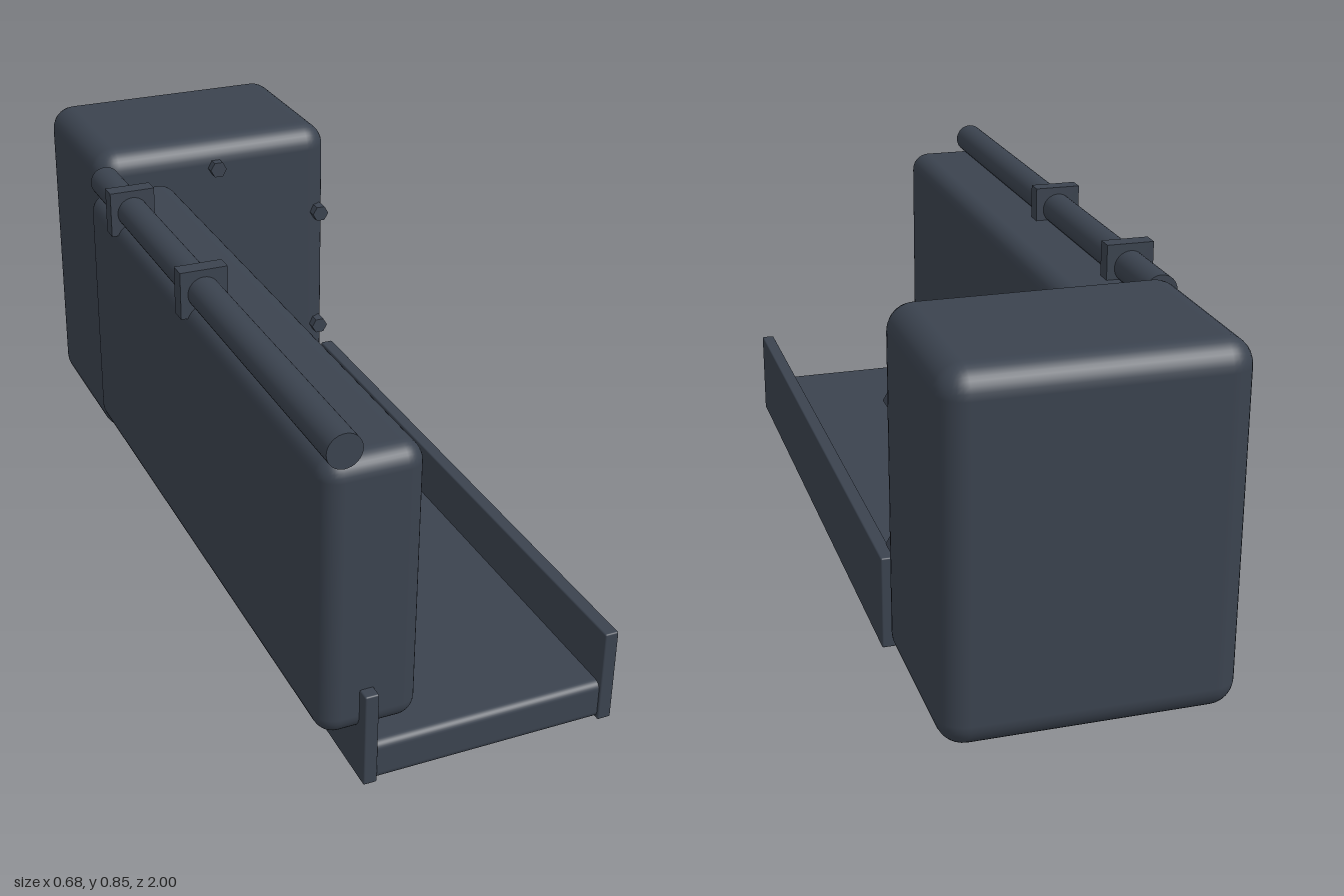
import * as THREE from 'three';
import { RoundedBoxGeometry } from 'three/addons/geometries/RoundedBoxGeometry.js';

const material = new THREE.MeshStandardMaterial({ color: 0x3b434f });

export function createModel() {
  const model = new THREE.Group();

  function add(name, geometry, x, y, z) {
    const mesh = new THREE.Mesh(geometry, material);
    mesh.name = name;
    mesh.position.set(x, y, z);
    model.add(mesh);
    return mesh;
  }

  // Box given by its limits on each axis, with optional rounded edges
  function box(name, [x0, x1], [y0, y1], [z0, z1], radius = 0) {
    const size = [x1 - x0, y1 - y0, z1 - z0];
    const geometry = radius
      ? new RoundedBoxGeometry(...size, 4, radius)
      : new THREE.BoxGeometry(...size);
    return add(name, geometry, (x0 + x1) / 2, (y0 + y1) / 2, (z0 + z1) / 2);
  }

  // Rear housing and side panel
  box('rearHousing', [-0.3, 0.34], [0.043, 0.852], [-1, -0.535], 0.06);
  box('sidePanel', [-0.33, -0.107], [0.127, 0.77], [-0.53, 0.972], 0.045);

  // Tray: floor between two rails, with a small pad underneath
  box('trayFloor', [-0.24, 0.335], [0.015, 0.108], [-0.497, 0.995], 0.018);
  box('trayRailRight', [-0.245, -0.214], [0.014, 0.236], [-0.497, 1], 0.004);
  box('trayRailLeft', [0.308, 0.34], [0.014, 0.236], [-0.497, 1], 0.004);
  box('trayPad', [-0.212, -0.168], [0, 0.03], [0.63, 0.89]);

  // Rod along the top of the panel, held by two square clamps
  const rod = new THREE.CylinderGeometry(0.038, 0.038, 1.485, 32).rotateX(Math.PI / 2);
  add('rod', rod, -0.288, 0.797, 0.2325);
  for (const z of [-0.305, 0.2]) {
    box('rodClamp', [-0.343, -0.232], [0.741, 0.852], [z - 0.02, z + 0.02]);
  }

  // Ring of six hexagonal bolts on the front of the housing
  const bolt = new THREE.CylinderGeometry(0.022, 0.022, 0.04, 6)
    .rotateY(Math.PI / 6).rotateX(Math.PI / 2).toNonIndexed();
  bolt.computeVertexNormals();
  for (let i = 0; i < 6; i++) {
    const a = Math.PI / 6 + i * Math.PI / 3;
    add('bolt', bolt, 0.02 + 0.335 * Math.cos(a), 0.447 + 0.335 * Math.sin(a), -0.533);
  }

  return model;
}
